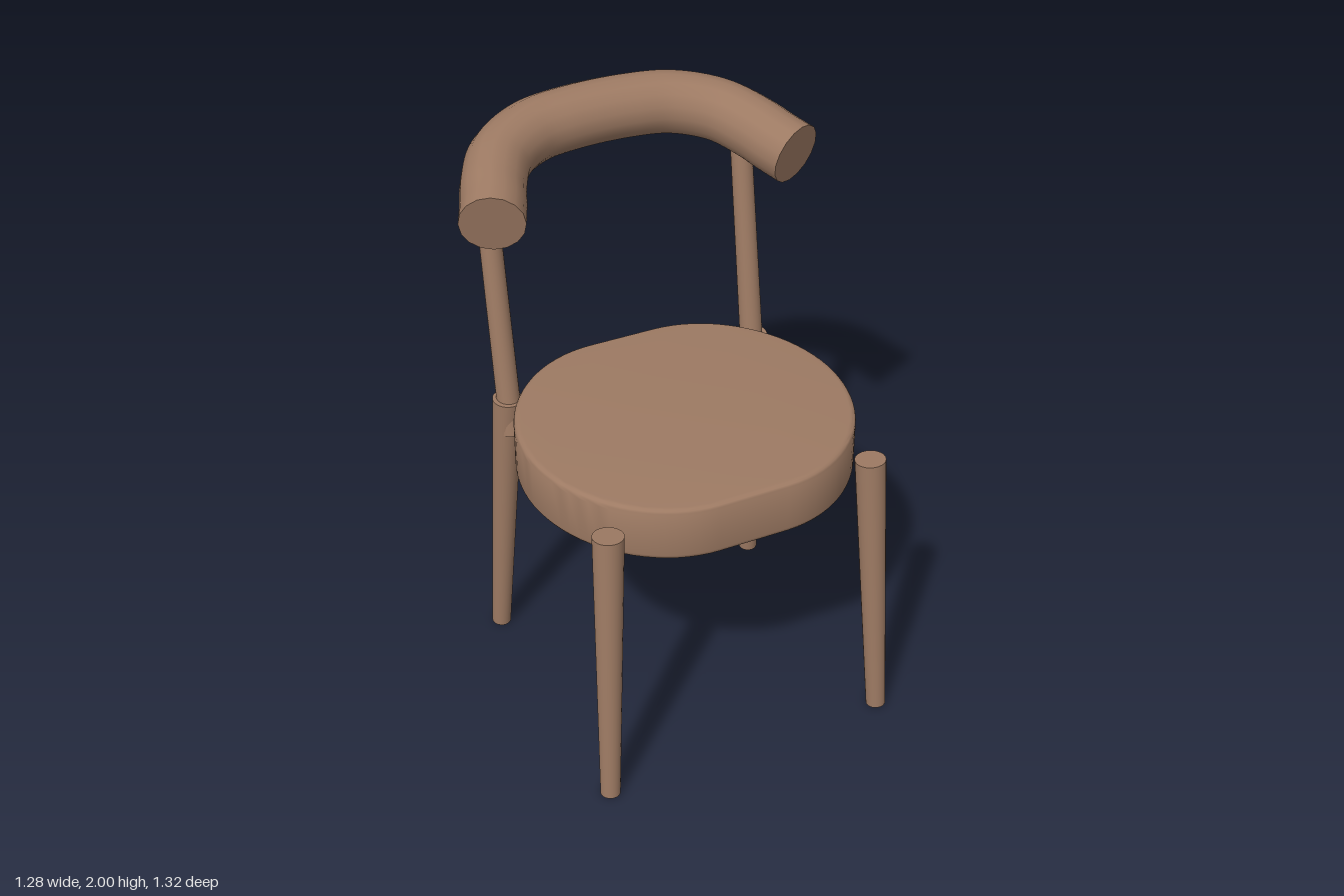
import * as THREE from 'three';
import { toCreasedNormals } from 'three/addons/utils/BufferGeometryUtils.js';

const wood = new THREE.MeshStandardMaterial({ color: 0x9d7a63 });
wood.name = 'brown wood';

const V = (x, y, z) => new THREE.Vector3(x, y, z);

function part(name, geometry) {
  const mesh = new THREE.Mesh(geometry, wood);
  mesh.name = name;
  return mesh;
}

// Tapered round rod between two points
function rod(name, bottom, top, rBottom, rTop) {
  const axis = top.clone().sub(bottom);
  const mesh = part(name, new THREE.CylinderGeometry(rTop, rBottom, axis.length(), 24));
  mesh.position.copy(bottom).add(top).multiplyScalar(0.5);
  mesh.quaternion.setFromUnitVectors(V(0, 1, 0), axis.normalize());
  return mesh;
}

// Rounded seat slab with short straight runs at front and back
function seat() {
  const e = 0.02, a = 0.57 - e, b = 0.51 - e, f = 0.12;
  const cx = f + (a - f) * 0.54, cy = b * 0.54;
  const s = new THREE.Shape();
  s.moveTo(f, -b);
  s.bezierCurveTo(cx, -b, a, -cy, a, 0);
  s.bezierCurveTo(a, cy, cx, b, f, b);
  s.lineTo(-f, b);
  s.bezierCurveTo(-cx, b, -a, cy, -a, 0);
  s.bezierCurveTo(-a, -cy, -cx, -b, -f, -b);
  s.closePath();
  const g = new THREE.ExtrudeGeometry(s, {
    depth: 0.195 - 2 * e, bevelEnabled: true, bevelSize: e, bevelThickness: e,
    bevelSegments: 4, curveSegments: 20,
  });
  g.rotateX(-Math.PI / 2).translate(0, 0.905 + e, 0.125);
  return part('seat', toCreasedNormals(g, 0.6));
}

// Thick bent tube lying in a plane that rises to the back
function backrest() {
  const half = [[0.54, -0.153], [0.505, -0.23], [0.47, -0.315], [0.395, -0.435], [0.26, -0.522], [0.11, -0.55]];
  const outline = [...half, ...half.map(([x, z]) => [-x, z]).reverse()];
  const path = new THREE.CatmullRomCurve3(
    outline.map(([x, z]) => V(x, 1.8 + (-0.153 - z) * 0.232, z)));
  const r = 0.108, sides = 16, steps = 64;
  const tube = new THREE.TubeGeometry(path, steps, r, sides);
  const group = new THREE.Group();
  group.name = 'backrest';
  group.add(part('backrestTube', tube));
  // Flat end caps
  for (const [i, sign] of [[0, -1], [steps, 1]]) {
    const cap = new THREE.CircleGeometry(r, sides);
    cap.applyMatrix4(new THREE.Matrix4().makeBasis(
      tube.normals[i],
      tube.binormals[i].clone().multiplyScalar(sign),
      tube.tangents[i].clone().multiplyScalar(sign)));
    const p = path.getPointAt(i / steps);
    cap.translate(p.x, p.y, p.z);
    group.add(part(sign < 0 ? 'leftEnd' : 'rightEnd', cap));
  }
  return group;
}

export function createModel() {
  const chair = new THREE.Group();
  chair.name = 'chair';
  chair.add(seat(), backrest());

  // Legs and back posts, mirrored
  for (const [side, s] of [['left', 1], ['right', -1]]) {
    chair.add(
      rod(side + 'FrontLeg', V(s * 0.513, 0.003, 0.622), V(s * 0.47, 1.03, 0.547), 0.034, 0.052),
      rod(side + 'RearLeg', V(s * 0.513, 0.003, -0.362), V(s * 0.47, 1.03, -0.29), 0.034, 0.052),
      rod(side + 'BackPost', V(s * 0.466, 0.9, -0.274), V(s * 0.466, 1.84, -0.419), 0.041, 0.037),
    );
  }
  return chair;
}
